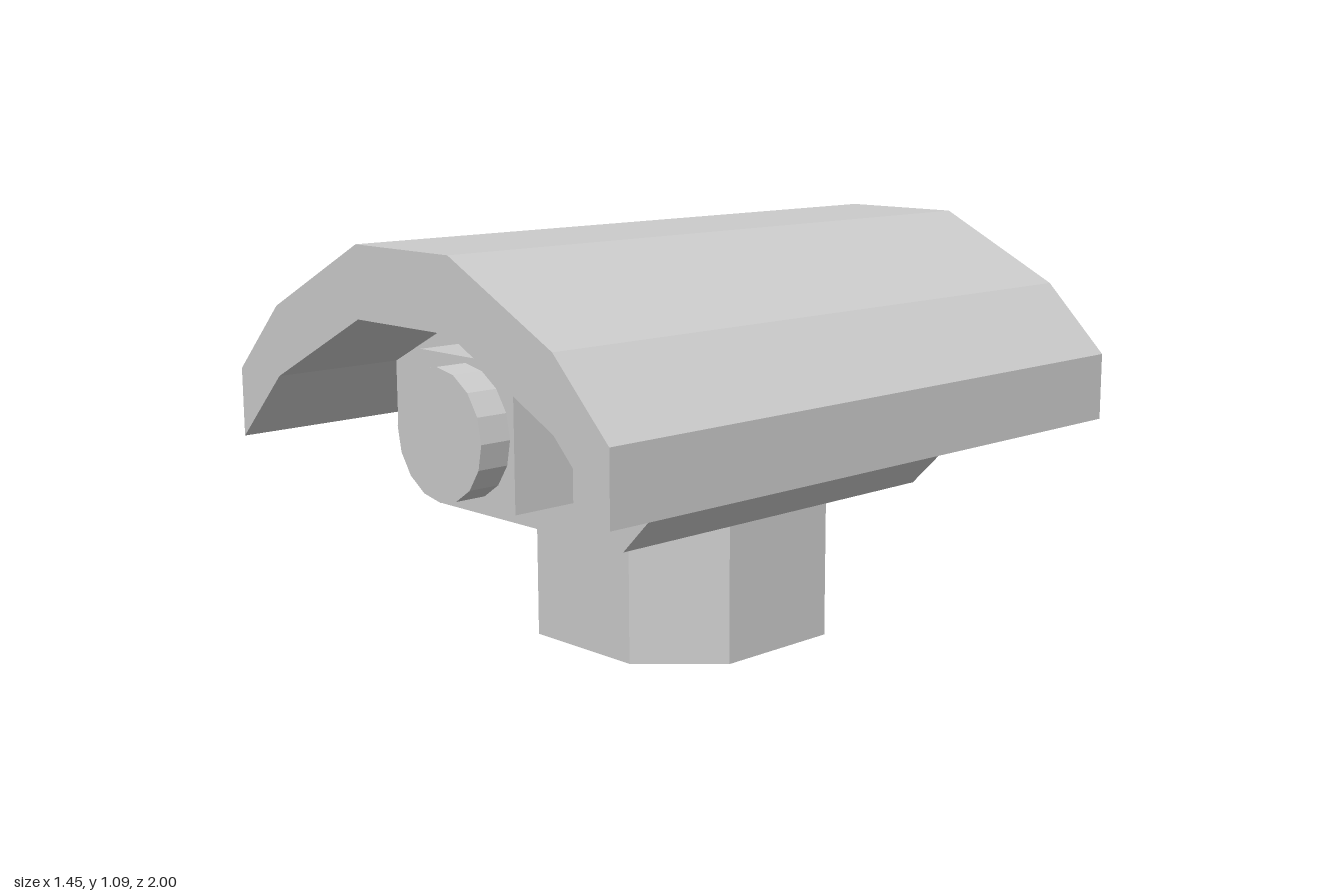
import * as THREE from 'three';

const U = 1 / 11; // modelling grid step

export function createModel() {
  const model = new THREE.Group();
  const grey = new THREE.MeshStandardMaterial({ color: 0xcccccc, flatShading: true });
  const greyOpen = new THREE.MeshStandardMaterial({ color: 0xcccccc, flatShading: true, side: THREE.DoubleSide });

  const add = (name, geometry, material = grey) => {
    const mesh = new THREE.Mesh(geometry, material);
    mesh.name = name;
    model.add(mesh);
    return mesh;
  };

  // Right half of an outline, mirrored and extruded from z0 to z1 (grid steps)
  const prism = (name, half, z0, z1) => {
    const mirrored = half.map(([x, y]) => [-x, y]).reverse();
    const points = [...half, ...mirrored].map(([x, y]) => new THREE.Vector2(x * U, y * U));
    const geometry = new THREE.ExtrudeGeometry(new THREE.Shape(points), { depth: (z1 - z0) * U, bevelEnabled: false });
    add(name, geometry.translate(0, 0, z0 * U));
  };

  const block = (name, halfWidth, y0, y1, z0, z1) => {
    const geometry = new THREE.BoxGeometry(2 * halfWidth * U, (y1 - y0) * U, (z1 - z0) * U);
    add(name, geometry.translate(0, (y0 + y1) / 2 * U, (z0 + z1) / 2 * U));
  };

  // Arched cover over the whole length
  prism('roofCover', [[2, 10], [6, 8], [8, 6], [8, 8], [6, 10], [2, 12]], -9, 11);

  // Faceted body below the cover
  prism('body', [[4, 4], [6, 6], [6, 8], [2, 10]], -5, 7);

  // Front housing and round lens
  block('lensHousing', 2, 5, 9, 7, 9);
  const lens = new THREE.CylinderGeometry(0.167, 0.167, U, 16).rotateX(Math.PI / 2);
  add('lens', lens.translate(0, 7 * U, 9.45 * U));

  // Rear mount: block, narrow link and end plate
  block('rearBlock', 3, 5, 9, -7, -5);
  block('rearLink', 2, 6, 8, -9, -7);
  block('rearPlate', 3, 5, 9, -11, -9);

  // Hollow eight-sided neck, open at the bottom
  const ring = [[4, 2], [2, 4], [-2, 4], [-4, 2], [-4, -2], [-2, -4], [2, -4], [4, -2]];
  const neck = new THREE.CylinderGeometry(1, 1, 4 * U, 8, 1, true);
  const pos = neck.attributes.position;
  for (let i = 0; i < pos.count; i++) {
    const [x, z] = ring[(8 - (i % 9)) % 8];
    pos.setXYZ(i, x * U, pos.getY(i) + 2 * U, (z + 1) * U);
  }
  add('neck', neck, greyOpen);

  return model;
}
